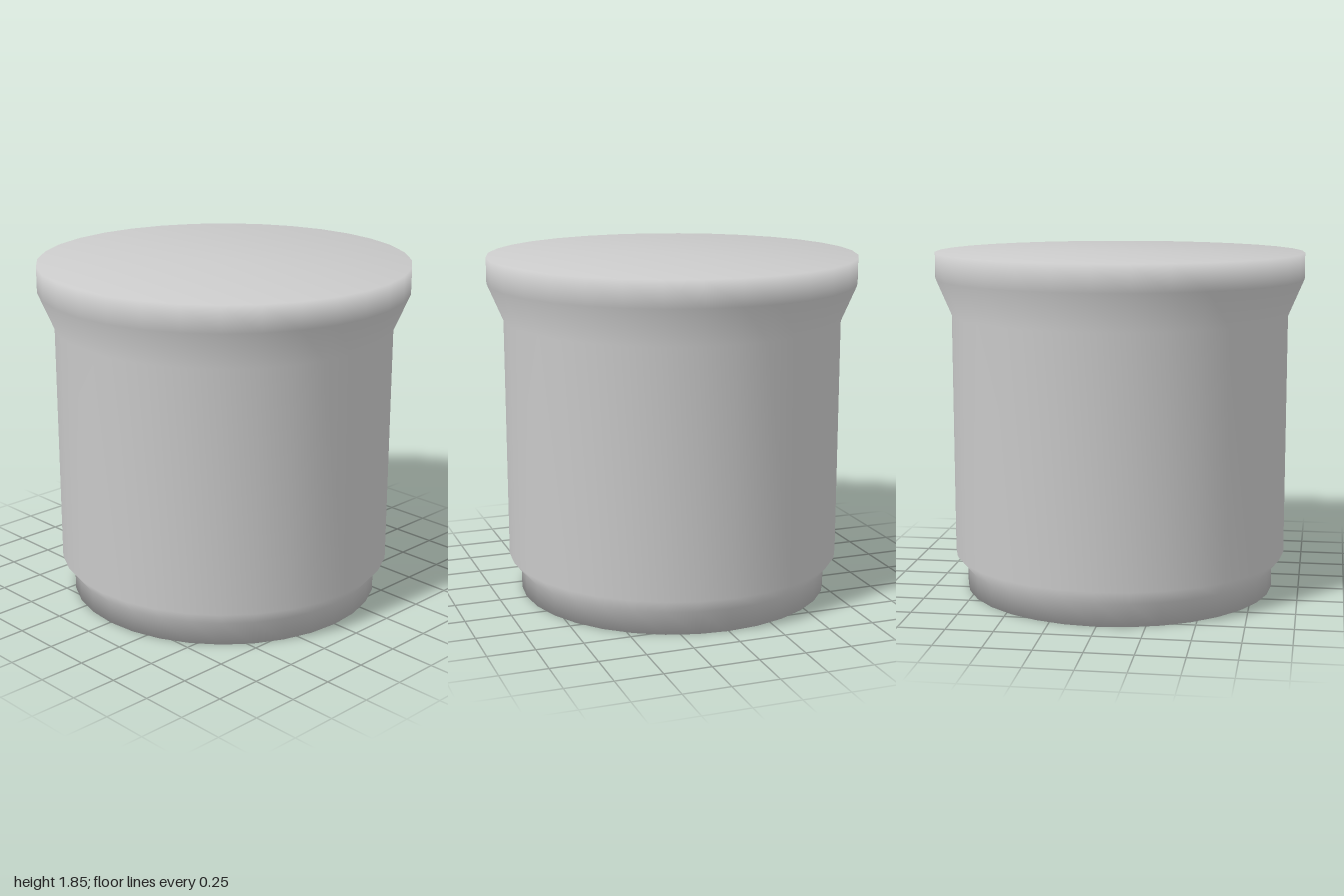
import * as THREE from 'three';
import { mergeVertices } from 'three/addons/utils/BufferGeometryUtils.js';

// Turned solid with one shared, area-weighted normal per corner (soft shading over the rims)
function turnedSolid(profile, sides) {
  const lathe = new THREE.LatheGeometry(profile.map(([r, y]) => new THREE.Vector2(r, y)), sides);
  lathe.deleteAttribute('normal');
  lathe.deleteAttribute('uv');
  const geometry = mergeVertices(lathe, 1e-4);
  geometry.computeVertexNormals();
  return geometry;
}

export function createModel() {
  const group = new THREE.Group();
  group.name = 'flaredPot';

  // Closed profile from base centre to top centre: radius, height
  const profile = [
    [0, 0],
    [0.85, 0], [0.85, 0.12],  // recessed foot
    [0.915, 0.2], [0.915, 1.51], // chamfer and straight wall
    [1, 1.71], [1, 1.85],     // flared rim
    [0, 1.85],
  ];

  const body = new THREE.Mesh(
    turnedSolid(profile, 32),
    new THREE.MeshStandardMaterial({ color: 0xcccccc })
  );
  body.name = 'body';
  group.add(body);
  return group;
}
